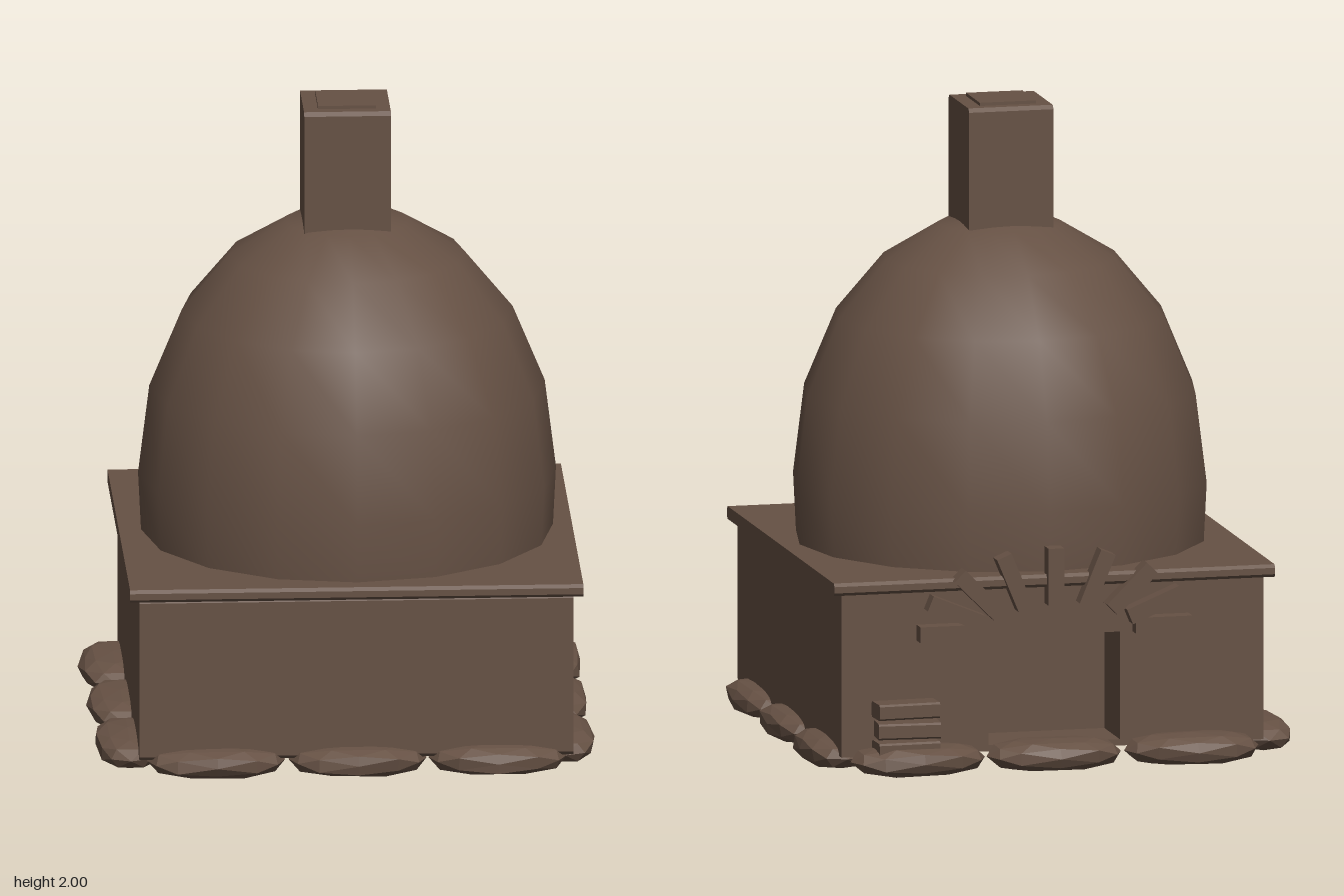
import * as THREE from 'three';

const clay = new THREE.MeshStandardMaterial({ color: 0x665144 });
clay.name = 'brownClay';

// Block with chamfered long edges running along x
function bevelBlock(x0, x1, y0, y1, z0, z1, b) {
  const pts = [
    [z0 + b, y0], [z1 - b, y0], [z1, y0 + b], [z1, y1 - b],
    [z1 - b, y1], [z0 + b, y1], [z0, y1 - b], [z0, y0 + b],
  ].map(([z, y]) => new THREE.Vector2(-z, y)).reverse();
  const geo = new THREE.ExtrudeGeometry(new THREE.Shape(pts), { depth: x1 - x0, bevelEnabled: false });
  geo.rotateY(Math.PI / 2);
  geo.translate(x0, 0, 0);
  return geo;
}

// Faceted, flattened boulder with repeatable irregularity
function stoneGeometry(length, height, depth, seed) {
  const geo = new THREE.IcosahedronGeometry(1, 1);
  const p = geo.attributes.position;
  const v = new THREE.Vector3();
  const square = (n) => Math.sign(n) * Math.pow(Math.abs(n), 0.8);
  for (let i = 0; i < p.count; i++) {
    v.fromBufferAttribute(p, i);
    const wobble = 0.06 * Math.sin(seed * 5.1 + v.x * 4.3 + v.y * 3.1 + v.z * 6.7);
    p.setXYZ(i,
      square(v.x) * length / 2,
      square(v.y) * height / 2 * (1 + wobble * 0.5),
      square(v.z) * depth / 2 * (1 + wobble));
  }
  geo.computeVertexNormals();
  return geo;
}

export function createModel() {
  const model = new THREE.Group();
  model.name = 'oven';
  const add = (name, geo, parent = model) => {
    const mesh = new THREE.Mesh(geo, clay);
    mesh.name = name;
    parent.add(mesh);
    return mesh;
  };

  // Square base: solid front part, then a back wall with the fire opening
  const nicheZ = -0.44;
  add('base', bevelBlock(-0.65, 0.70, 0.06, 0.58, nicheZ, 0.71, 0.012));
  const wall = new THREE.Shape();
  wall.moveTo(-0.65, 0.06).lineTo(0.70, 0.06).lineTo(0.70, 0.58).lineTo(-0.65, 0.58).closePath();
  const hole = new THREE.Path();
  hole.moveTo(-0.19, 0.08).lineTo(-0.19, 0.42).lineTo(0.23, 0.42).lineTo(0.23, 0.08).closePath();
  wall.holes.push(hole);
  const wallGeo = new THREE.ExtrudeGeometry(wall, { depth: 0.2, bevelEnabled: false });
  wallGeo.translate(0, 0, -0.64);
  add('openingWall', wallGeo);

  // Overhanging slab
  add('slab', bevelBlock(-0.68, 0.73, 0.575, 0.615, -0.67, 0.73, 0.01));

  // Domed oven
  const profile = [[0.64, 0.6], [0.65, 0.8], [0.615, 1.08], [0.515, 1.32], [0.365, 1.5], [0.19, 1.605], [0, 1.635]]
    .map(([r, y]) => new THREE.Vector2(r, y));
  add('dome', new THREE.LatheGeometry(profile, 16, Math.PI / 2)).position.set(0.03, 0, 0.025);

  // Chimney with a thin raised cap
  add('chimney', bevelBlock(-0.11, 0.16, 1.5, 1.99, -0.105, 0.165, 0.012));
  add('chimneyCap', new THREE.BoxGeometry(0.18, 0.012, 0.18)).position.set(0.025, 1.994, 0.03);

  // Fan of bricks over the opening
  const arch = new THREE.Group();
  arch.name = 'brickArch';
  model.add(arch);
  const brickLength = 0.18;
  for (let i = 0; i <= 8; i++) {
    const t = (i / 8) * Math.PI;
    const brick = add('archBrick', new THREE.BoxGeometry(brickLength, 0.05, 0.055), arch);
    brick.position.set(
      0.025 + Math.cos(t) * (0.435 - brickLength / 2),
      0.445 + Math.sin(t) * (0.255 - brickLength / 2),
      -0.664);
    brick.rotation.z = t;
  }

  // Loose bricks stacked beside the opening: [y, z, turn]
  const stack = new THREE.Group();
  stack.name = 'brickStack';
  model.add(stack);
  [[0.09, -0.69, 0.03], [0.153, -0.705, -0.06], [0.212, -0.685, 0.05]].forEach(([y, z, turn]) => {
    const brick = add('stackBrick', bevelBlock(-0.098, 0.098, -0.025, 0.025, -0.044, 0.044, 0.006), stack);
    brick.position.set(0.505, y, z);
    brick.rotation.y = turn;
  });

  // Foundation stones, three along each side
  const stones = new THREE.Group();
  stones.name = 'foundationStones';
  model.add(stones);
  const sides = [[0, 0.675, 0], [0, -0.675, 0], [0.675, 0, 1], [-0.675, 0, 1]];
  sides.forEach(([x, z, alongZ], s) => {
    [-0.41, 0.03, 0.465].forEach((c, i) => {
      const stone = add('stone', stoneGeometry(0.43, 0.1, 0.21, s * 3 + i), stones);
      stone.position.set(alongZ ? x : c, 0.051, alongZ ? c : z);
      stone.rotation.y = alongZ ? Math.PI / 2 : 0;
    });
  });

  return model;
}
